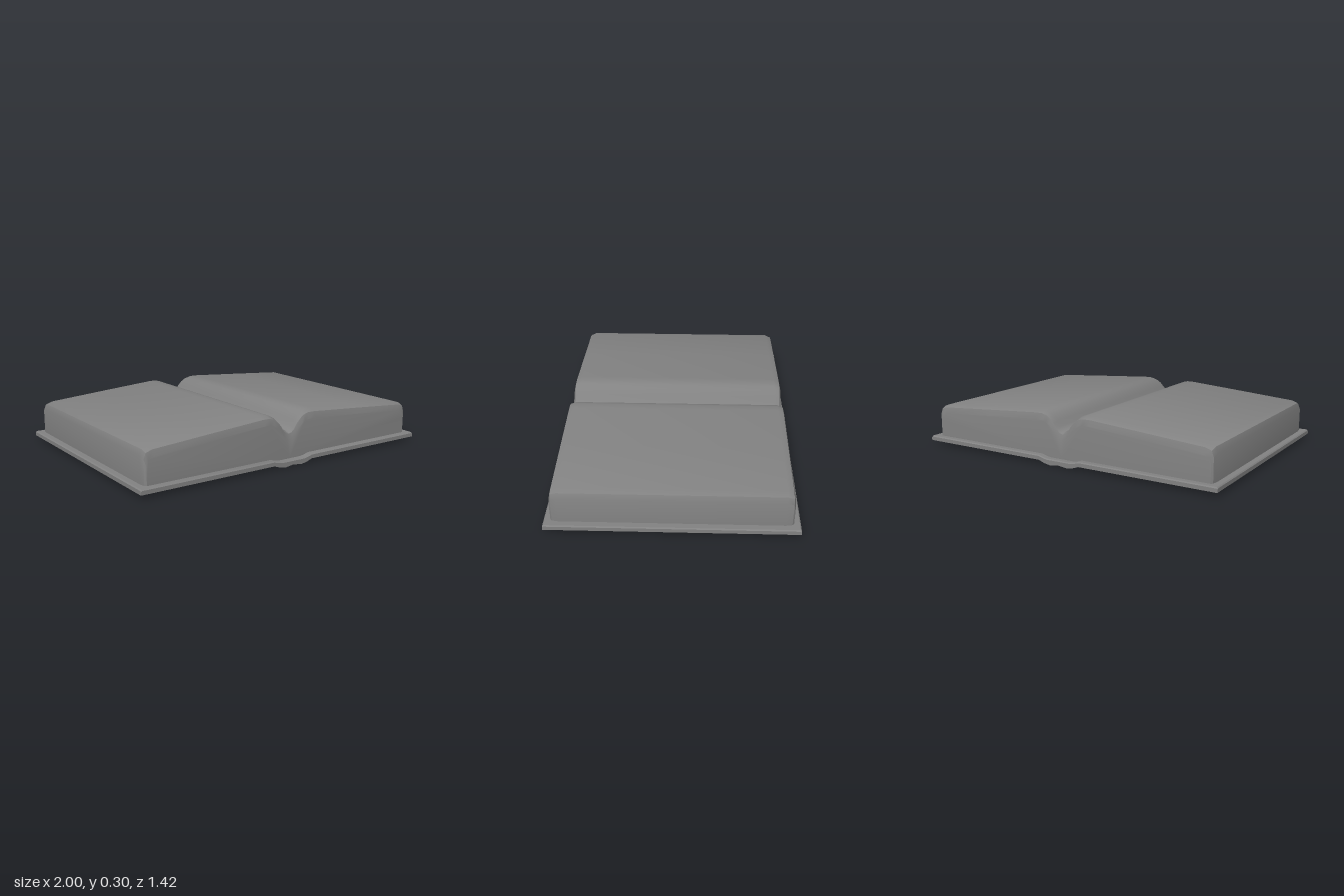
import * as THREE from 'three';
import { toCreasedNormals } from 'three/addons/utils/BufferGeometryUtils.js';

const material = new THREE.MeshStandardMaterial({ color: 0x828282 });

// Right half of a line given from the spine outwards, mirrored to run from +x to -x
function mirrored(half) {
  const left = half.filter(([x]) => x > 0).map(([x, y]) => [-x, y]);
  return [...[...half].reverse(), ...left];
}

// Closed solid through a list of equal rings (counter-clockwise seen from +z), back to front
function loft(rings) {
  const n = rings[0].length;
  const positions = rings.flat(2);
  const index = [];
  for (let s = 0; s < rings.length - 1; s++) {
    for (let i = 0; i < n; i++) {
      const a = s * n + i, b = s * n + (i + 1) % n;
      index.push(a, b, b + n, a, b + n, a + n);
    }
  }
  const outline = rings[0].map(([x, y]) => new THREE.Vector2(x, y));
  const front = (rings.length - 1) * n;
  for (const [a, b, c] of THREE.ShapeUtils.triangulateShape(outline, [])) {
    index.push(c, b, a, front + a, front + b, front + c);
  }
  const geometry = new THREE.BufferGeometry();
  geometry.setAttribute('position', new THREE.Float32BufferAttribute(positions, 3));
  geometry.setIndex(index);
  return toCreasedNormals(geometry, 0.6);
}

// Sections along z: [z, drop of the upper edge, sideways inset], mirrored front to back
function sweep(upper, lower, sections) {
  const all = [...sections.map(([z, d, i]) => [-z, d, i]), ...[...sections].reverse()];
  const width = Math.max(...upper.map(([x]) => x));
  return loft(all.map(([z, drop, inset]) => {
    const k = 1 - inset / width;
    return [
      ...[...lower].reverse().map(([x, y]) => [x * k, y, z]),
      ...upper.map(([x, y]) => [x * k, y - drop, z]),
    ];
  }));
}

export function createModel() {
  const book = new THREE.Group();
  book.name = 'openBook';

  // Page block: two gently sloping halves meeting in a V-shaped valley
  const pageTop = mirrored([
    [0, 0.195], [0.02, 0.202], [0.04, 0.219], [0.06, 0.25], [0.09, 0.28],
    [0.115, 0.296], [0.145, 0.304], [0.19, 0.304], [0.55, 0.278],
    [0.91, 0.251], [0.947, 0.238], [0.96, 0.205],
  ]);
  const pageBottom = mirrored([[0, 0.033], [0.96, 0.033]]);
  const pages = new THREE.Mesh(
    sweep(pageTop, pageBottom, [[0.673, 0.05, 0.016], [0.663, 0.014, 0.006], [0.628, 0, 0]]),
    material,
  );
  pages.name = 'pages';
  book.add(pages);

  // Cover: thin board with bevelled edges that bulges down under the spine
  const coverTop = mirrored([[0, 0.036], [0.08, 0.036], [0.11, 0.041], [0.14, 0.05], [0.994, 0.05], [1, 0.044]]);
  const coverBottom = mirrored([
    [0, 0.008], [0.03, 0.004], [0.06, 0], [0.1, 0.007], [0.14, 0.021], [1, 0.021],
  ]);
  const cover = new THREE.Mesh(
    sweep(coverTop, coverBottom, [[0.711, 0.006, 0], [0.705, 0, 0]]),
    material,
  );
  cover.name = 'cover';
  book.add(cover);

  return book;
}
